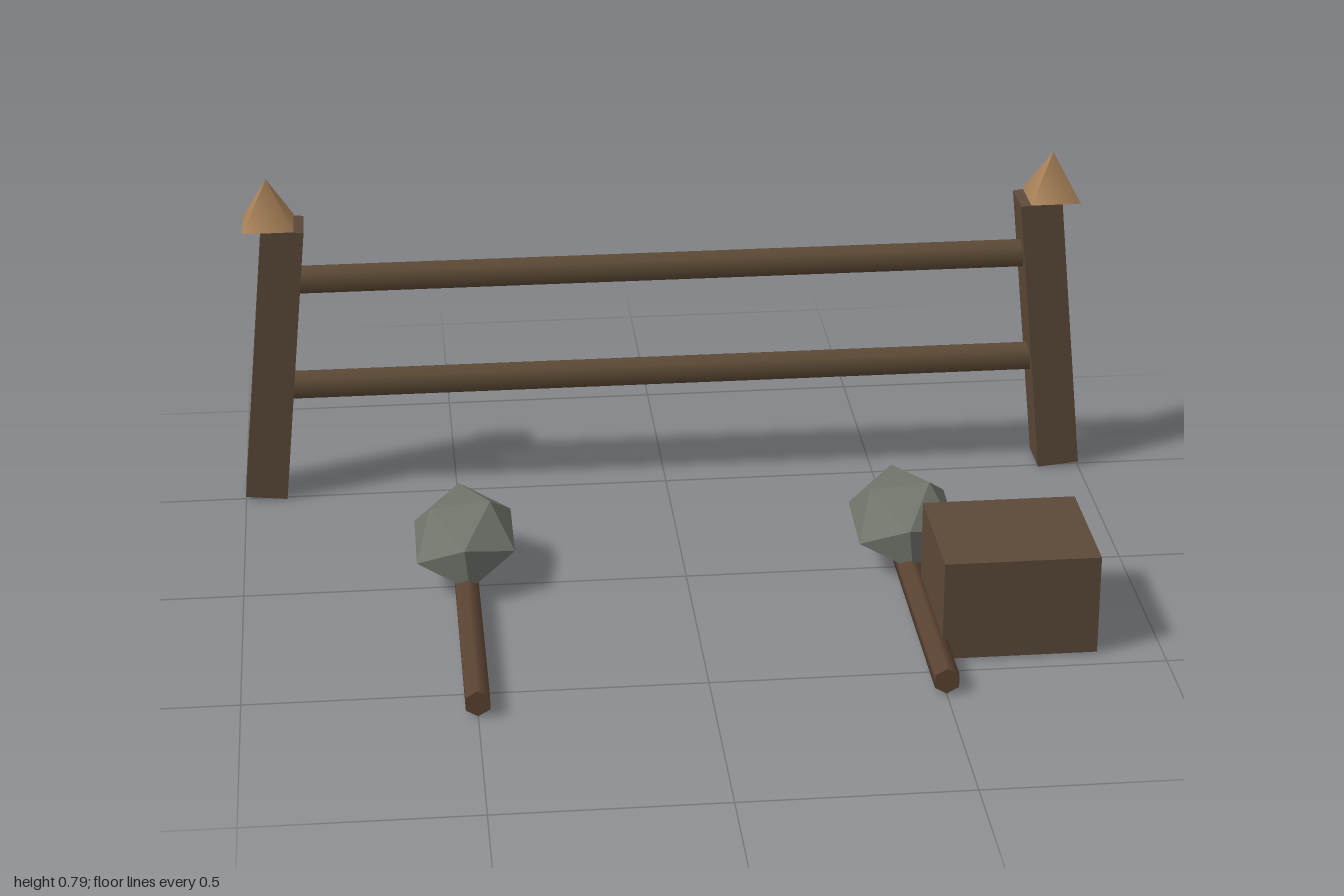
import * as THREE from 'three';

const material = (name, color, flatShading = false) => {
  const m = new THREE.MeshStandardMaterial({ color, flatShading });
  m.name = name;
  return m;
};

export function createModel() {
  const model = new THREE.Group();
  const wood = material('dark wood', 0x5c4938);
  const railWood = material('rail wood', 0x5c4a35);
  const handleWood = material('handle wood', 0x5c4433);
  const tipWood = material('pale cut wood', 0xa88259);
  const stone = material('grey stone', 0x70756b, true);

  const add = (parent, name, geometry, mat, x, y, z) => {
    const mesh = new THREE.Mesh(geometry, mat);
    mesh.name = name;
    mesh.position.set(x, y, z);
    parent.add(mesh);
    return mesh;
  };

  // Fence: leaning posts with pyramid tips, joined by two rails
  const fence = new THREE.Group();
  fence.name = 'fence';
  model.add(fence);
  const fenceZ = -0.543;
  const postGeometry = new THREE.BoxGeometry(0.098, 0.68, 0.108);
  const tipGeometry = new THREE.ConeGeometry(0.083, 0.11, 4).rotateY(Math.PI / 4);
  for (const [side, label] of [[-1, 'right'], [1, 'left']]) {
    const post = add(fence, label + 'Post', postGeometry, wood, side * 0.918, 0.344, fenceZ);
    post.rotation.z = side * 0.1;
    add(fence, label + 'PostTip', tipGeometry, tipWood, side * 0.917, 0.737, fenceZ);
  }
  const railGeometry = new THREE.CylinderGeometry(0.035, 0.035, 1.78, 8).rotateZ(Math.PI / 2);
  add(fence, 'upperRail', railGeometry, railWood, 0, 0.54, fenceZ);
  add(fence, 'lowerRail', railGeometry, railWood, 0, 0.273, fenceZ);

  // Stone-headed mallets lying on the ground
  const handleGeometry = new THREE.CylinderGeometry(0.03, 0.03, 0.684, 6).rotateX(Math.PI / 2);
  const headGeometry = new THREE.IcosahedronGeometry(1, 0).scale(0.13, 0.097, 0.172);
  for (const [x, label] of [[-0.5, 'right'], [0.5, 'left']]) {
    const mallet = new THREE.Group();
    mallet.name = label + 'Mallet';
    mallet.position.x = x;
    model.add(mallet);
    add(mallet, 'handle', handleGeometry, handleWood, 0, 0.033, 0.259);
    const head = add(mallet, 'stoneHead', headGeometry, stone, 0, 0.104, -0.048);
    head.rotation.set(0.1, 0, 0.1);
  }

  // Wooden block beside the left mallet
  add(model, 'block', new THREE.BoxGeometry(0.342, 0.23, 0.302), wood, 0.685, 0.119, 0.299);

  return model;
}
